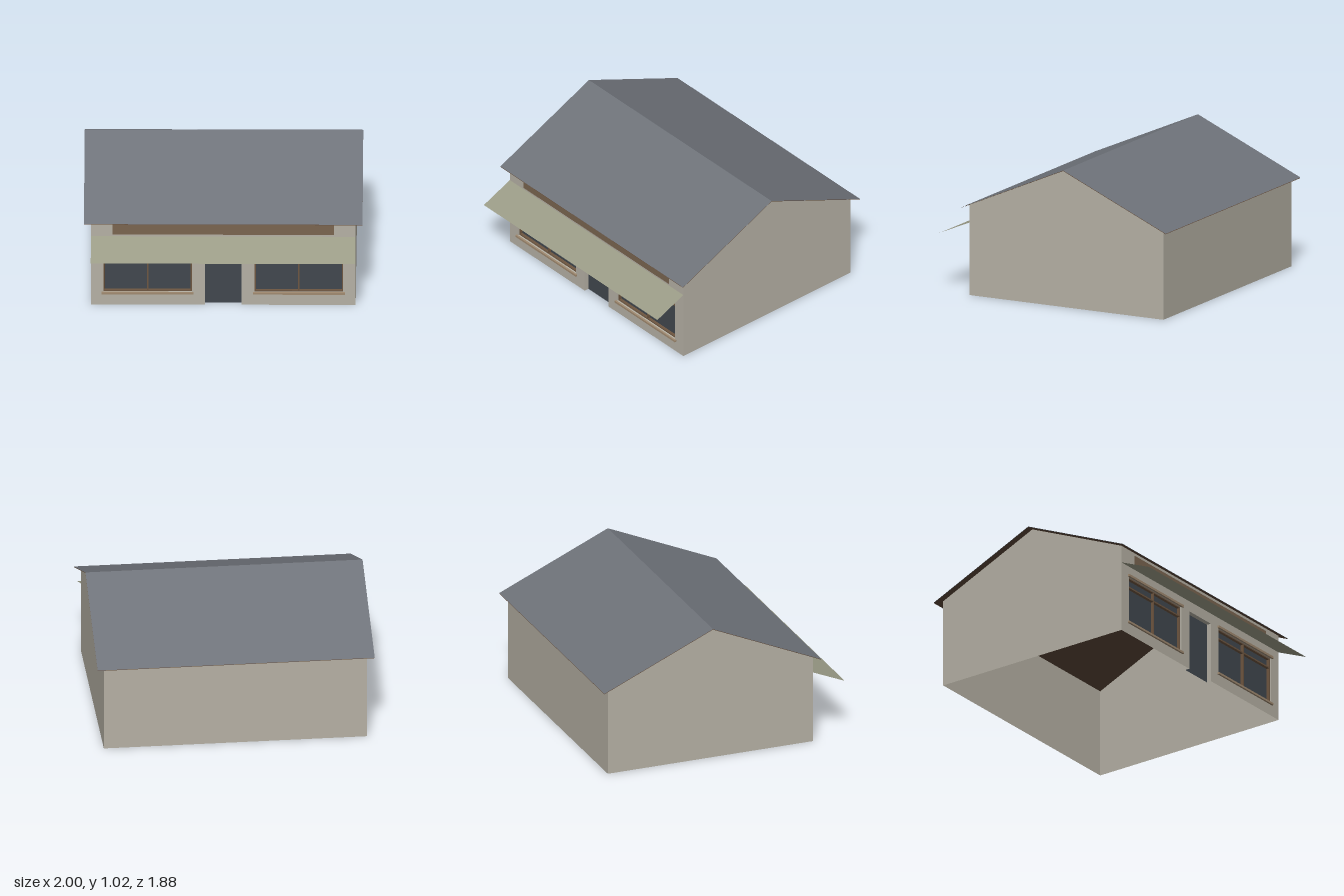
import * as THREE from 'three';

const FRONT = 0.69, BACK = -0.9, RIDGE_Z = -0.105, HALF_W = 0.95;
const EAVE = 0.668, RIDGE = 1.02, HEAD = 0.455, RECESS = 0.035;

const mat = (color) => new THREE.MeshStandardMaterial({ color, side: THREE.DoubleSide, flatShading: true });

export function createModel() {
  const model = new THREE.Group();
  const wall = mat(0xb5b0a4), slate = mat(0x6e7279), timber = mat(0x5a4636), sign = mat(0x79644f);
  const canvas = mat(0x9a9b86), glass = mat(0x41474e), frame = mat(0x6e5640), stone = mat(0xa08a70);

  const add = (name, geometry, material, parent = model) => {
    const mesh = new THREE.Mesh(geometry, material);
    mesh.name = name;
    parent.add(mesh);
    return mesh;
  };
  // flat sheet spanning x0..x1 between two (y, z) edges
  const sheet = (name, x0, x1, [ya, za], [yb, zb], material, parent) => {
    const g = new THREE.BufferGeometry();
    g.setAttribute('position', new THREE.Float32BufferAttribute(
      [x0, ya, za, x1, ya, za, x1, yb, zb, x0, yb, zb], 3));
    g.setIndex([0, 1, 2, 0, 2, 3]);
    g.computeVertexNormals();
    return add(name, g, material, parent);
  };
  const box = (name, x0, x1, y0, y1, z0, z1, material, parent) => {
    const m = add(name, new THREE.BoxGeometry(x1 - x0, y1 - y0, z1 - z0), material, parent);
    m.position.set((x0 + x1) / 2, (y0 + y1) / 2, (z0 + z1) / 2);
    return m;
  };
  const outline = (pts) => pts.map(([x, y]) => new THREE.Vector2(x, y));

  // front wall with a door notch and two window openings
  const DOOR = 0.13, W0 = 0.225, W1 = 0.86, SILL = 0.1;
  const facade = new THREE.Shape(outline([
    [-HALF_W, 0], [-DOOR, 0], [-DOOR, HEAD], [DOOR, HEAD], [DOOR, 0],
    [HALF_W, 0], [HALF_W, EAVE], [-HALF_W, EAVE]]));
  for (const [a, b] of [[-W1, -W0], [W0, W1]]) {
    facade.holes.push(new THREE.Path(outline([[a, SILL], [a, HEAD], [b, HEAD], [b, SILL]])));
  }
  add('frontWall', new THREE.ShapeGeometry(facade), wall).position.z = FRONT;

  // back wall and gable ends
  sheet('backWall', HALF_W, -HALF_W, [0, BACK], [EAVE, BACK], wall);
  const gable = new THREE.Shape(outline([
    [-FRONT, 0], [-BACK, 0], [-BACK, EAVE], [-RIDGE_Z, RIDGE - 0.004], [-FRONT, EAVE]]));
  for (const side of [-1, 1]) {
    const g = add('gableWall', new THREE.ShapeGeometry(gable), wall);
    g.rotation.y = Math.PI / 2;
    g.position.x = side * HALF_W;
  }

  // recessed opening: reveals and a pane set back from the facade
  const opening = (name, x0, x1, y0) => {
    const group = new THREE.Group();
    group.name = name;
    model.add(group);
    const zp = FRONT - RECESS;
    for (const x of [x0, x1]) {
      const jamb = add('jamb', new THREE.PlaneGeometry(RECESS, HEAD - y0), wall, group);
      jamb.rotation.y = Math.PI / 2;
      jamb.position.set(x, (y0 + HEAD) / 2, FRONT - RECESS / 2);
    }
    sheet('headReveal', x0, x1, [HEAD, FRONT], [HEAD, zp], wall, group);
    if (y0 > 0) sheet('sillReveal', x0, x1, [y0, FRONT], [y0, zp], wall, group);
    sheet('pane', x0, x1, [y0, zp], [HEAD, zp], glass, group);
    return group;
  };

  opening('door', -DOOR, DOOR, 0);
  for (const [a, b] of [[-W1, -W0], [W0, W1]]) {
    const win = opening('window', a, b, SILL);
    const z0 = FRONT - RECESS + 0.001, z1 = FRONT - 0.012, t = 0.009, mid = (a + b) / 2;
    // frame, mullion and transom
    box('frameSide', a, a + t, SILL, HEAD, z0, z1, frame, win);
    box('frameSide', b - t, b, SILL, HEAD, z0, z1, frame, win);
    box('frameBottom', a, b, SILL, SILL + t, z0, z1, frame, win);
    box('frameTop', a, b, HEAD - t, HEAD, z0, z1, frame, win);
    box('mullion', mid - t / 2, mid + t / 2, SILL, HEAD, z0, z1, frame, win);
    box('transom', a, b, 0.376, 0.387, z0, z1, frame, win);
    // projecting sill and lintel
    box('sill', a - 0.013, b + 0.013, 0.085, SILL, FRONT, FRONT + 0.014, stone, win);
    box('lintel', a - 0.013, b + 0.013, 0.452, 0.469, FRONT, FRONT + 0.014, stone, win);
  }

  // sign board and sloping awning
  sheet('signBoard', -0.795, 0.795, [0.55, FRONT + 0.003], [0.645, FRONT + 0.003], sign);
  sheet('awning', -HALF_W, HALF_W, [0.43, 0.937], [0.535, FRONT], canvas);

  // roof slopes with a timber lining just beneath
  for (const side of [1, -1]) {
    const z = RIDGE_Z + side * 0.842;
    sheet('roofSlope', -side, side, [0.65, z], [RIDGE, RIDGE_Z], slate);
    sheet('roofLining', side, -side, [0.646, z], [RIDGE - 0.004, RIDGE_Z], timber);
  }
  return model;
}
